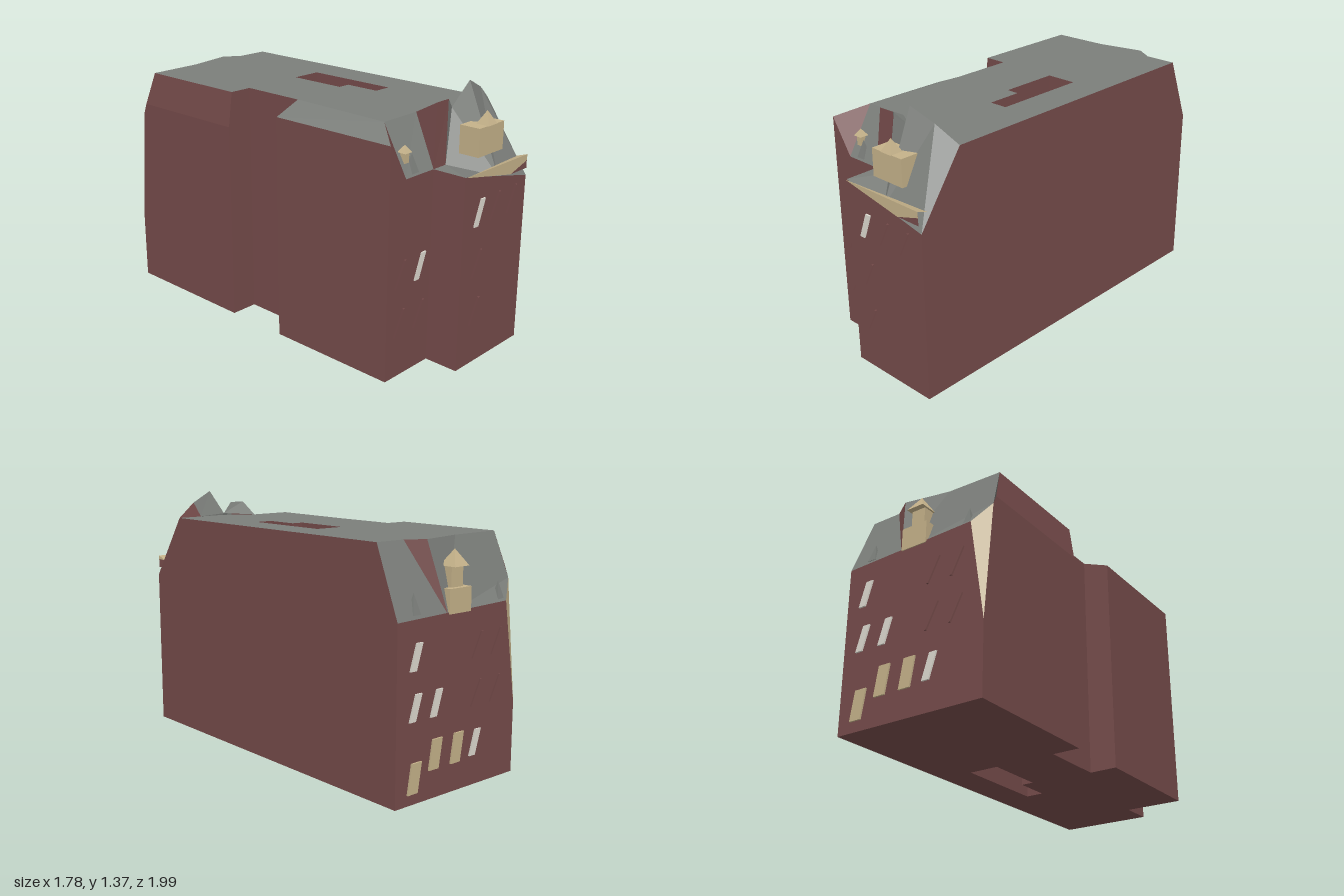
import * as THREE from 'three';

const mat = (name, color) => new THREE.MeshStandardMaterial({ name, color, side: THREE.DoubleSide });

export function createModel() {
  const brick = mat('brick red', 0x754b4a);
  const slate = mat('slate grey', 0x7b7e7a);
  const stone = mat('sandstone', 0xc4b189);
  const white = mat('window white', 0xdcd8ce);

  // Building axes: x = along the length (back to front), y = up, z = across
  const model = new THREE.Group();
  const house = new THREE.Group();
  house.name = 'house';
  house.rotation.y = -1.009;
  house.position.set(-0.18, 0, -1);
  model.add(house);

  const add = (name, geo, material) => {
    const m = new THREE.Mesh(geo, material);
    m.name = name;
    house.add(m);
    return m;
  };

  // Flat facets, each a fan of [along, across, height] points
  const facets = (name, material, ...polys) => {
    const pos = [];
    for (const p of polys) {
      for (let i = 1; i < p.length - 1; i++) {
        for (const [a, b, y] of [p[0], p[i], p[i + 1]]) pos.push(a, y, b);
      }
    }
    const g = new THREE.BufferGeometry();
    g.setAttribute('position', new THREE.Float32BufferAttribute(pos, 3));
    g.computeVertexNormals();
    return add(name, g, material);
  };

  // Horizontal slab outline with the courtyard cut out
  const court = [[0.77, 0.186], [1.28, 0.186], [1.28, 0.283], [1.09, 0.283], [1.09, 0.35], [0.77, 0.35]];
  const level = (name, pts, y, material) => {
    const s = new THREE.Shape(pts.map(p => new THREE.Vector2(...p)));
    s.holes.push(new THREE.Path(court.map(p => new THREE.Vector2(...p))));
    const g = new THREE.ShapeGeometry(s);
    g.rotateX(Math.PI / 2);
    g.translate(0, y, 0);
    if (y > 0) {
      const ix = g.index.array;
      for (let i = 0; i < ix.length; i += 3) [ix[i], ix[i + 1]] = [ix[i + 1], ix[i]];
      g.computeVertexNormals();
    }
    add(name, g, material);
  };

  // Box between limits, leaning across by "lean" from bottom to top
  const block = (name, material, [a0, a1], [b0, b1], [y0, y1], lean = 0) => {
    const g = new THREE.BoxGeometry(a1 - a0, y1 - y0, b1 - b0);
    const p = g.attributes.position;
    for (let i = 0; i < p.count; i++) p.setZ(i, p.getZ(i) + lean * p.getY(i) / (y1 - y0));
    g.translate((a0 + a1) / 2, (y0 + y1) / 2, (b0 + b1) / 2);
    return add(name, g, material);
  };

  const T = 1.23;
  level('floor', [[0, 0], [2.01, 0], [2.01, 0.513], [1.83, 0.513], [1.83, 0.83], [1.12, 0.835],
    [1.12, 0.688], [0.77, 0.688], [0.77, 0.835], [0, 0.835]], 0, brick);
  level('flatRoof', [[0.14, 0], [1.765, 0], [1.776, 0.315], [1.684, 0.47], [1.69, 0.71], [1.12, 0.688],
    [0.77, 0.688], [0.77, 0.81], [0.14, 0.81], [0.13, 0.51], [0.08, 0.264], [0.14, 0.17]], T, slate);

  // Courtyard walls
  facets('courtyardWalls', brick, ...court.map(([a, b], i) => {
    const [c, d] = court[(i + 1) % court.length];
    return [[a, b, 0], [a, b, T], [c, d, T], [c, d, 0]];
  }));

  // Outer walls
  facets('longWall', brick, [[0, 0, 0], [0, 0, 0.88], [0.14, 0, T], [1.765, 0, T], [2.01, 0, 0.88], [2.01, 0, 0]]);
  facets('backWall', brick, [[0, 0, 0], [0, 0.835, 0], [0, 0.835, 0.37], [0, 0.75, 0.9], [0, 0, 0.88]]);
  facets('cornerChamfer', stone, [[0, 0.835, 0.37], [0.06, 0.835, 1], [0, 0.75, 0.9]]);
  facets('rearWingWall', brick,
    [[0, 0.835, 0], [0.77, 0.835, 0], [0.77, 0.835, 1.05], [0.08, 0.835, 1.05], [0.06, 0.835, 1], [0, 0.835, 0.37]],
    [[0.08, 0.835, 1.05], [0.77, 0.835, 1.05], [0.77, 0.81, T], [0.14, 0.81, T]]);
  facets('recessWalls', brick,
    [[0.77, 0.688, 0], [0.77, 0.835, 0], [0.77, 0.835, 1.05], [0.77, 0.81, T], [0.77, 0.688, T]],
    [[0.77, 0.688, 0], [0.77, 0.688, T], [1.12, 0.688, T], [1.12, 0.688, 0]],
    [[1.12, 0.688, 0], [1.12, 0.688, T], [1.12, 0.835, 1.17], [1.12, 0.835, 0]]);
  facets('frontWingWall', brick, [[1.12, 0.835, 0], [1.83, 0.83, 0], [1.83, 0.83, 1.17], [1.12, 0.835, 1.17]]);
  facets('frontWalls', brick,
    [[1.83, 0.715, 0.99], [1.83, 0.83, 1.17], [1.83, 0.83, 0], [1.83, 0.513, 0], [1.83, 0.513, 0.99]],
    [[1.83, 0.83, 1.17], [1.69, 0.71, T], [1.83, 0.715, 0.99]],
    [[1.83, 0.513, 0], [2.01, 0.513, 0], [2.01, 0.513, 0.99], [1.83, 0.513, 0.99]],
    [[2.01, 0.513, 0], [2.01, 0, 0], [2.01, 0, 0.88], [2.01, 0.513, 0.99]]);

  // Sloping roofs
  facets('frontWingRoof', slate,
    [[1.12, 0.835, 1.17], [1.83, 0.83, 1.17], [1.69, 0.71, T], [1.12, 0.688, T]],
    [[1.83, 0.715, 0.99], [1.83, 0.513, 0.99], [1.684, 0.47, T], [1.69, 0.71, T]]);
  facets('backMansard', slate,
    [[0, 0, 0.88], [0, 0.33, 0.88], [0.14, 0.17, T], [0.14, 0, T]],
    [[0, 0.33, 0.88], [0, 0.75, 0.9], [0.06, 0.835, 1], [0.14, 0.81, T], [0.13, 0.51, T], [0.08, 0.264, T]]);
  facets('backGableCheek', brick, [[0, 0.33, 0.88], [0.08, 0.264, T], [0.14, 0.17, T]]);

  // Peaked front roof
  const eave = [2.01, 0, 0.88], mid = [2.01, 0.25, 0.935], corner = [2.01, 0.513, 0.99];
  const r0 = [1.765, 0, T], r1 = [1.8, 0.12, 1.31], r2 = [1.827, 0.252, 1.37];
  const r3 = [1.776, 0.315, 1.24], r4 = [1.81, 0.39, 1.28], foot = [1.83, 0.42, 0.99];
  const inner = [1.83, 0.513, 0.99], ridge = [1.684, 0.47, T], base = [1.772, 0.15, T];
  facets('frontPeakRoof', slate,
    [eave, r0, r1, mid], [mid, r1, r2], [mid, r2, r3], [mid, r3, foot, corner],
    [foot, r3, r4], [inner, corner, foot],
    [base, r1, r2, r3], [r3, r4, [1.81, 0.39, 1.3], [1.813, 0.48, 1.3], ridge]);
  facets('peakCheek', brick, [r0, r1, base]);
  facets('fireWall', brick, [inner, ridge, [1.813, 0.48, 1.3], [1.81, 0.39, 1.3], foot]);

  // Broken cornice over the front wall
  facets('cornice', stone,
    [[2.018, 0.513, 0.99], [2.018, 0.01, 0.99], [2.018, 0.01, 0.96], [2.018, 0.15, 0.92]],
    [[2.018, 0.513, 0.99], [2.018, 0.01, 0.99], [1.96, 0.01, 0.97]]);
  facets('corniceCheek', brick, [[2.017, 0.15, 0.92], [2.017, 0.01, 0.97], [2.017, 0.01, 0.92]]);

  // Dormers with small pointed caps
  const cap = (name, material, a, b, y, r, h) => {
    const g = new THREE.ConeGeometry(r, h, 4).toNonIndexed();
    g.rotateY(Math.PI / 4);
    g.computeVertexNormals();
    g.translate(a, y + h / 2, b);
    add(name, g, material);
  };
  block('frontDormer', stone, [1.86, 1.97], [0.16, 0.36], [1.04, 1.18]);
  cap('frontDormerCap', stone, 1.94, 0.26, 1.18, 0.05, 0.065);
  block('smallDormer', stone, [1.77, 1.8], [0.66, 0.69], [1.05, 1.1]);
  cap('smallDormerCap', stone, 1.785, 0.675, 1.1, 0.035, 0.035);
  cap('smallDormerSpike', slate, 1.8, 0.64, 1.0, 0.035, 0.09);
  block('backDormer', stone, [-0.005, 0.06], [0.335, 0.485], [0.88, 1.0]);
  block('backDormerTop', stone, [0.02, 0.09], [0.37, 0.45], [1.0, 1.1]);
  cap('backDormerCap', stone, 0.04, 0.41, 1.1, 0.07, 0.08);
  for (const b of [0.13, 0.72]) cap('backSpike', slate, 0.03, b, 0.9, 0.035, 0.1);

  // Leaning windows: [across, height]
  const windows = (name, material, a, list, lean, w, h = 0.13) => {
    for (const [b, y] of list) {
      block(name, material, [a - 0.009, a + 0.009], [b - w / 2, b + w / 2], [y - h / 2, y + h / 2], lean);
    }
  };
  windows('frontWindow', white, 2.01, [[0.39, 0.79]], -0.05, 0.03);
  windows('frontSlit', brick, 2.01, [[0.26, 0.79], [0.12, 0.79], [0.39, 0.53], [0.39, 0.28]], -0.065, 0.01);
  windows('frontWindow', white, 1.83, [[0.595, 0.53]], -0.05, 0.03);
  windows('frontSlit', brick, 1.83, [[0.74, 0.53], [0.74, 0.28], [0.595, 0.28]], -0.065, 0.01);
  windows('backWindow', white, 0, [[0.12, 0.71], [0.12, 0.47], [0.26, 0.47], [0.54, 0.22]], 0.04, 0.04);
  windows('backPanel', stone, 0, [[0.12, 0.13], [0.26, 0.22], [0.41, 0.22]], 0.025, 0.065, 0.15);
  windows('backSlit', brick, 0, [[0.54, 0.71], [0.68, 0.71], [0.54, 0.47], [0.68, 0.47]], 0.065, 0.01);

  return model;
}
